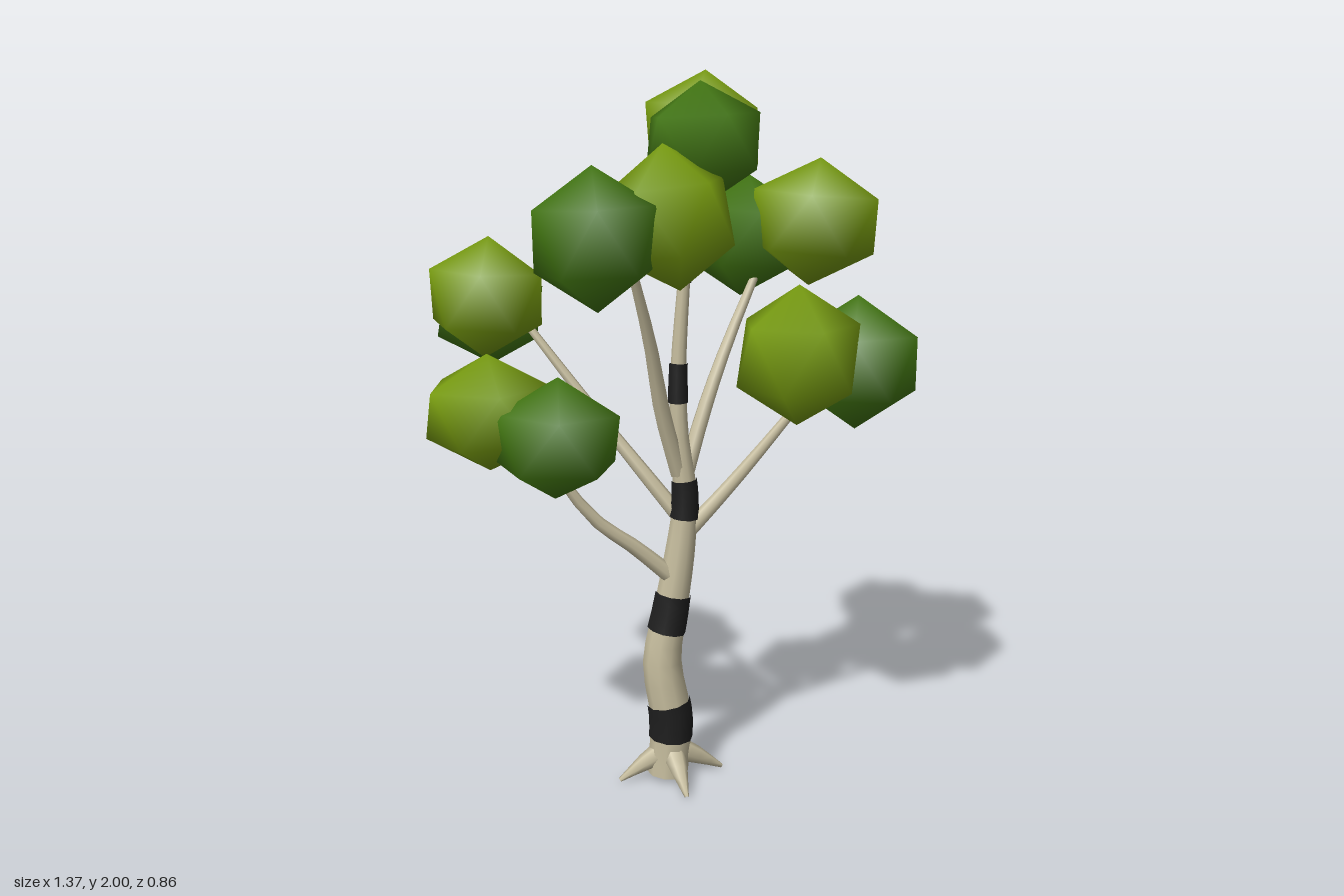
import * as THREE from 'three';
import { mergeVertices } from 'three/addons/utils/BufferGeometryUtils.js';

const bark = new THREE.MeshStandardMaterial({ color: 0xc6bd9e });
bark.name = 'paleBark';
const mark = new THREE.MeshStandardMaterial({ color: 0x1e1e1e, side: THREE.DoubleSide });
mark.name = 'blackBark';
const lightLeaf = new THREE.MeshStandardMaterial({ color: 0x789c10 });
lightLeaf.name = 'lightGreenLeaves';
const darkLeaf = new THREE.MeshStandardMaterial({ color: 0x427612 });
darkLeaf.name = 'darkGreenLeaves';

// Smooth path and matching radius through points [x, y, z, radius]
function makePath(points) {
  const curve = new THREE.CatmullRomCurve3(points.map(([x, y, z]) => new THREE.Vector3(x, y, z)));
  return {
    curve,
    radius(t) {
      const f = t * (points.length - 1);
      const i = Math.min(Math.floor(f), points.length - 2);
      return THREE.MathUtils.lerp(points[i][3], points[i + 1][3], f - i);
    },
  };
}

// Tapered tube along a path, or part of its surface between t0-t1 and over an arc
function limb(path, { t0 = 0, t1 = 1, steps = 8, sides = 8, start = 0, arc = Math.PI * 2, lift = 0 } = {}) {
  const closed = arc > 6.28;
  const cols = closed ? sides : sides + 1;
  const dir = path.curve.getPoint(1).sub(path.curve.getPoint(0)).normalize();
  const ref = Math.abs(dir.x) > 0.6 ? new THREE.Vector3(0, 0, 1) : new THREE.Vector3(1, 0, 0);
  const pos = [], index = [];
  for (let i = 0; i <= steps; i++) {
    const t = t0 + (t1 - t0) * i / steps;
    const c = path.curve.getPoint(t), T = path.curve.getTangent(t);
    const U = ref.clone().addScaledVector(T, -ref.dot(T)).normalize();
    const V = T.clone().cross(U);
    const r = path.radius(t) + lift;
    for (let j = 0; j < cols; j++) {
      const a = start + arc * j / sides;
      const p = c.clone().addScaledVector(U, r * Math.cos(a)).addScaledVector(V, r * Math.sin(a));
      pos.push(p.x, p.y, p.z);
    }
  }
  for (let i = 0; i < steps; i++) {
    for (let j = 0; j < sides; j++) {
      const k = closed ? (j + 1) % sides : j + 1;
      const a = i * cols + j, b = i * cols + k;
      index.push(a, b, a + cols, b, b + cols, a + cols);
    }
  }
  const g = new THREE.BufferGeometry();
  g.setAttribute('position', new THREE.Float32BufferAttribute(pos, 3));
  g.setIndex(index);
  g.computeVertexNormals();
  return g;
}

// Icosahedron standing on a corner, with smooth normals
function leafGeometry() {
  let g = new THREE.IcosahedronGeometry(1, 0);
  g.deleteAttribute('uv');
  g.deleteAttribute('normal');
  g = mergeVertices(g, 1e-3);
  g.rotateZ(Math.atan(2 / (1 + Math.sqrt(5))));
  g.computeVertexNormals();
  return g;
}

export function createModel() {
  const tree = new THREE.Group();
  tree.name = 'tree';
  const add = (name, geometry, material) => {
    const m = new THREE.Mesh(geometry, material);
    m.name = name;
    tree.add(m);
    return m;
  };

  // Curved trunk
  const trunk = makePath([
    [-0.03, 0.015, -0.01, 0.06], [-0.02, 0.18, -0.01, 0.06], [-0.045, 0.36, -0.012, 0.056],
    [-0.02, 0.52, -0.012, 0.049], [0.005, 0.68, -0.01, 0.043], [0.02, 0.85, -0.006, 0.034],
    [0.003, 1.02, -0.004, 0.027], [0.0, 1.2, -0.002, 0.022], [0.015, 1.45, 0, 0.017], [0.04, 1.75, 0, 0.012],
  ]);
  add('trunk', limb(trunk, { steps: 27, sides: 10 }), bark);
  const base = add('trunkBase', new THREE.CircleGeometry(0.06, 10), bark);
  base.rotation.x = Math.PI / 2;
  base.position.set(-0.03, 0.015, -0.01);

  // Black bark patches over the front half of the trunk
  const tAtHeight = (y) => {
    let lo = 0, hi = 1;
    for (let i = 0; i < 30; i++) {
      const mid = (lo + hi) / 2;
      if (trunk.curve.getPoint(mid).y < y) lo = mid; else hi = mid;
    }
    return lo;
  };
  for (const y of [0.125, 0.455, 0.79, 1.12, 1.45]) {
    add('barkPatch', limb(trunk, {
      t0: tAtHeight(y), t1: tAtHeight(y + 0.11), steps: 4, sides: 5, start: -Math.PI, arc: Math.PI, lift: 0.004,
    }), mark);
  }

  // Four pointed roots
  for (let i = 0; i < 4; i++) {
    const a = i * Math.PI / 2 - 0.15;
    const at = (d, y, r) => [-0.02 + d * Math.cos(a), y, -0.005 + d * Math.sin(a), r];
    add('root', limb(makePath([at(0.02, 0.085, 0.036), at(0.08, 0.055, 0.025), at(0.155, 0.009, 0.006)]),
      { steps: 4, sides: 6 }), bark);
  }

  // Branches
  const branches = [
    [[0.0, 0.6, -0.005, 0.026], [-0.12, 0.71, 0.015, 0.022], [-0.24, 0.81, 0.04, 0.018], [-0.4, 1.04, 0.07, 0.01]],
    [[0.02, 0.77, -0.01, 0.024], [-0.09, 0.91, -0.05, 0.021], [-0.2, 1.05, -0.1, 0.017], [-0.44, 1.37, -0.19, 0.01]],
    [[0.0, 0.92, 0.0, 0.024], [-0.05, 1.1, 0.04, 0.023], [-0.09, 1.3, 0.1, 0.018], [-0.16, 1.56, 0.2, 0.011]],
    [[0.01, 0.87, -0.01, 0.024], [0.08, 1.08, -0.06, 0.021], [0.15, 1.25, -0.11, 0.017], [0.28, 1.52, -0.19, 0.01]],
    [[0.01, 0.73, -0.005, 0.025], [0.1, 0.82, -0.015, 0.021], [0.2, 0.93, -0.02, 0.018], [0.4, 1.18, 0.0, 0.01]],
  ];
  for (const b of branches) add('branch', limb(makePath(b), { steps: 8, sides: 7 }), bark);

  // Leaf clumps: centre, half width, half height, yaw, tilt, colour
  const geometry = leafGeometry();
  const clumps = [
    [0.085, 1.835, -0.135, 0.178, 0.168, 0.0, -0.05, lightLeaf],
    [0.055, 1.815, 0.065, 0.170, 0.157, 0.6, 0.05, darkLeaf],
    [-0.245, 1.59, 0.265, 0.178, 0.18, 0.3, 0.03, darkLeaf],
    [-0.045, 1.635, 0.19, 0.172, 0.185, 0.9, 0.12, lightLeaf],
    [0.225, 1.55, -0.24, 0.185, 0.172, 0.4, -0.06, darkLeaf],
    [0.4, 1.595, -0.12, 0.2, 0.176, 0.0, -0.08, lightLeaf],
    [0.315, 1.255, 0.075, 0.185, 0.192, 0.5, 0.0, lightLeaf],
    [0.51, 1.21, -0.04, 0.195, 0.19, 0.0, 0.0, darkLeaf],
    [-0.51, 1.405, -0.1, 0.175, 0.165, 0.2, -0.06, lightLeaf],
    [-0.5, 1.34, -0.285, 0.168, 0.15, 0.7, 0.0, darkLeaf],
    [-0.515, 1.11, 0.01, 0.19, 0.16, 0.5, 0.0, lightLeaf],
    [-0.34, 1.055, 0.105, 0.19, 0.165, 0.3, -0.04, darkLeaf],
  ];
  for (const [x, y, z, w, h, yaw, tilt, material] of clumps) {
    const m = add('leafClump', geometry, material);
    m.position.set(x, y, z);
    m.scale.set(w, h, w);
    m.rotation.set(0, yaw, tilt, 'ZYX');
  }
  return tree;
}
